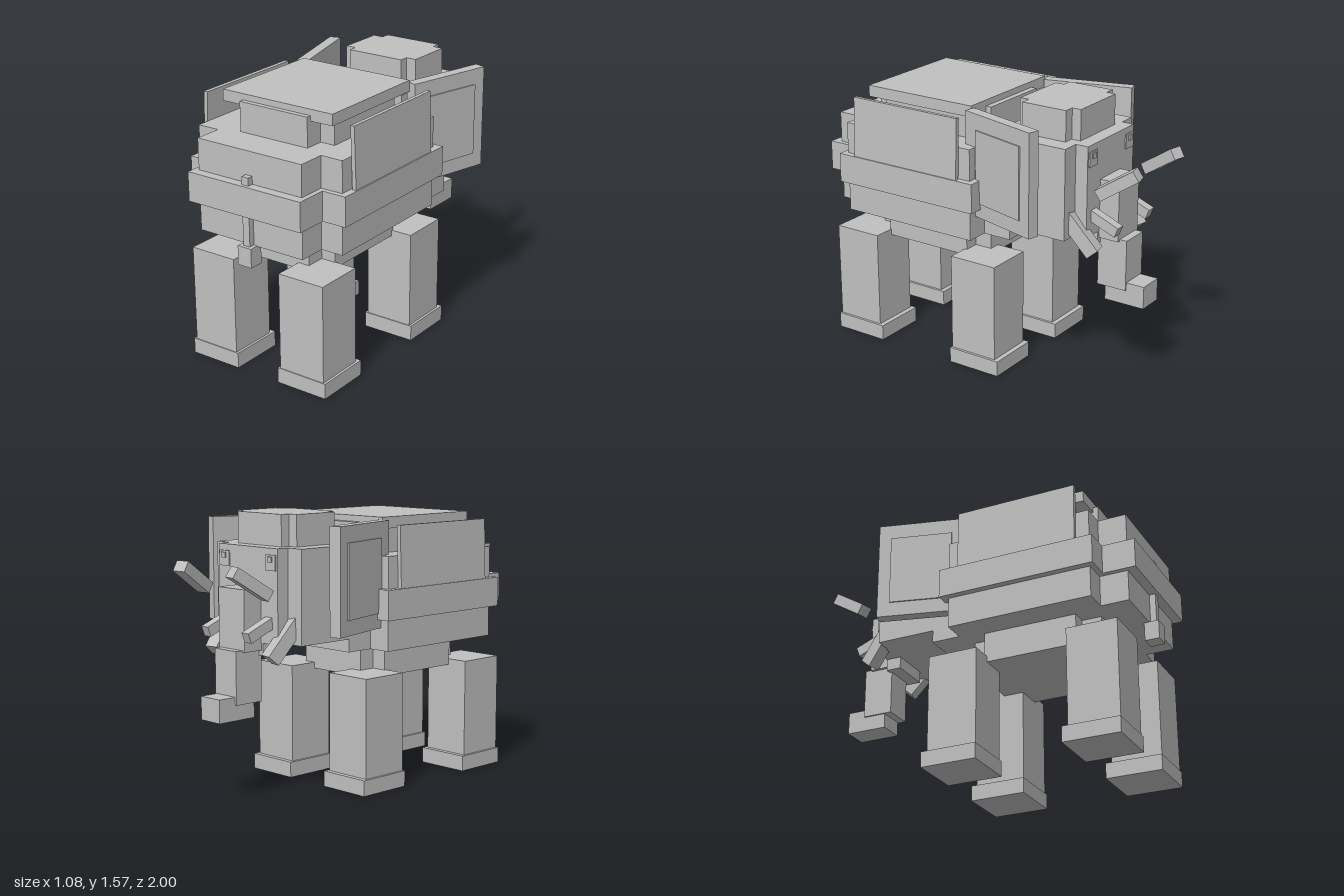
import * as THREE from 'three';

export function createModel() {
  const model = new THREE.Group();
  model.name = 'blockElephant';
  const grey = new THREE.MeshStandardMaterial({ color: 0xc0c0c0 });
  grey.name = 'grey';

  // Box given by its extents on each axis
  function block(name, x0, x1, y0, y1, z0, z1, parent = model) {
    const mesh = new THREE.Mesh(new THREE.BoxGeometry(x1 - x0, y1 - y0, z1 - z0), grey);
    mesh.position.set((x0 + x1) / 2, (y0 + y1) / 2, (z0 + z1) / 2);
    mesh.name = name;
    parent.add(mesh);
    return mesh;
  }
  // Box centred on x = 0
  const mid = (name, hx, y0, y1, z0, z1) => block(name, -hx, hx, y0, y1, z0, z1);

  // Box given by centre and size, yawed (y) then pitched (x)
  function tilted(name, size, pos, pitch, yaw, roll = 0) {
    const mesh = new THREE.Mesh(new THREE.BoxGeometry(...size), grey);
    mesh.position.set(...pos);
    mesh.rotation.set(pitch, yaw, roll, 'YXZ');
    mesh.name = name;
    model.add(mesh);
    return mesh;
  }

  // Body: stacked layers, each a cross of a wide and a long box
  function layer(name, y0, y1, wide, long) {
    mid(name + 'Wide', wide[0], y0, y1, wide[1], wide[2]);
    mid(name + 'Long', long[0], y0, y1, long[1], long[2]);
  }
  layer('belly', 0.62, 0.8, [0.315, 0.065, 0.62], [0.225, -0.04, 0.735]);
  layer('lowerBody', 0.797, 0.975, [0.48, -0.08, 0.78], [0.345, -0.25, 0.945]);
  layer('middleBody', 0.975, 1.145, [0.52, -0.12, 0.81], [0.375, -0.31, 1.0]);
  layer('upperBody', 1.145, 1.325, [0.48, -0.08, 0.78], [0.345, -0.25, 0.945]);
  layer('back', 1.325, 1.495, [0.315, 0.065, 0.62], [0.225, -0.045, 0.735]);

  // Saddle blanket
  mid('blanketTop', 0.365, 1.465, 1.53, -0.01, 0.705);

  // Tail
  mid('tail', 0.022, 0.8, 1.19, 0.94, 0.98);
  mid('tailTuft', 0.045, 0.69, 0.8, 0.915, 1.0);

  // Head
  layer('head', 0.87, 1.39, [0.345, -0.605, -0.2], [0.24, -0.68, -0.12]);
  layer('crown', 1.39, 1.565, [0.24, -0.54, -0.26], [0.178, -0.595, -0.205]);
  mid('jaw', 0.12, 0.8, 0.87, -0.68, -0.59);

  // Trunk
  mid('trunkUpper', 0.105, 0.83, 1.17, -0.8, -0.65);
  mid('trunkMiddle', 0.087, 0.545, 0.84, -0.845, -0.665);
  mid('trunkTip', 0.077, 0.46, 0.59, -0.955, -0.71);

  // Paired parts
  const rad = THREE.MathUtils.degToRad;
  for (const s of [1, -1]) {
    const side = s > 0 ? 'left' : 'right';

    // Legs and feet
    for (const [end, z] of [['Front', -0.08], ['Rear', 0.75]]) {
      const leg = new THREE.Group();
      leg.name = side + end + 'Leg';
      leg.position.set(s * 0.3, 0, z);
      model.add(leg);
      const dz = end === 'Front' ? 0.012 : 0.0125;
      block('shin', -0.145, 0.145, 0.09, 0.655, -0.1475 + dz, 0.1475 + dz, leg);
      block('foot', -0.16, 0.16, 0, 0.09, -0.165, 0.165, leg);
    }

    // Blanket side, leaning slightly inward
    tilted(side + 'BlanketSide', [0.024, 0.35, 0.715], [s * 0.495, 1.318, 0.347], 0, 0, s * rad(2));

    // Ear with a thin panel on its outer face
    const ear = tilted(side + 'Ear', [0.066, 0.59, 0.525], [s * 0.442, 1.22, -0.263], 0, -s * rad(15));
    block('earPanel', s * 0.036 - 0.005, s * 0.036 + 0.005, -0.21, 0.205, -0.19, 0.17, ear);

    // Tusk pieces
    tilted(side + 'TuskRoot', [0.08, 0.08, 0.27], [s * 0.25, 0.9, -0.645], rad(-50), s * rad(12));
    tilted(side + 'TuskTip', [0.08, 0.065, 0.25], [s * 0.235, 1.218, -0.87], rad(33), s * rad(12));
    tilted(side + 'LowerTusk', [0.055, 0.06, 0.235], [s * 0.168, 0.965, -0.73], rad(-22), 0);

    // Eye plate and pupil
    block(side + 'Eye', s * 0.19 - 0.04, s * 0.19 + 0.04, 1.27, 1.355, -0.687, -0.679);
    block(side + 'Pupil', s * 0.19 - 0.016, s * 0.19 + 0.016, 1.315, 1.345, -0.695, -0.686);
  }
  return model;
}
